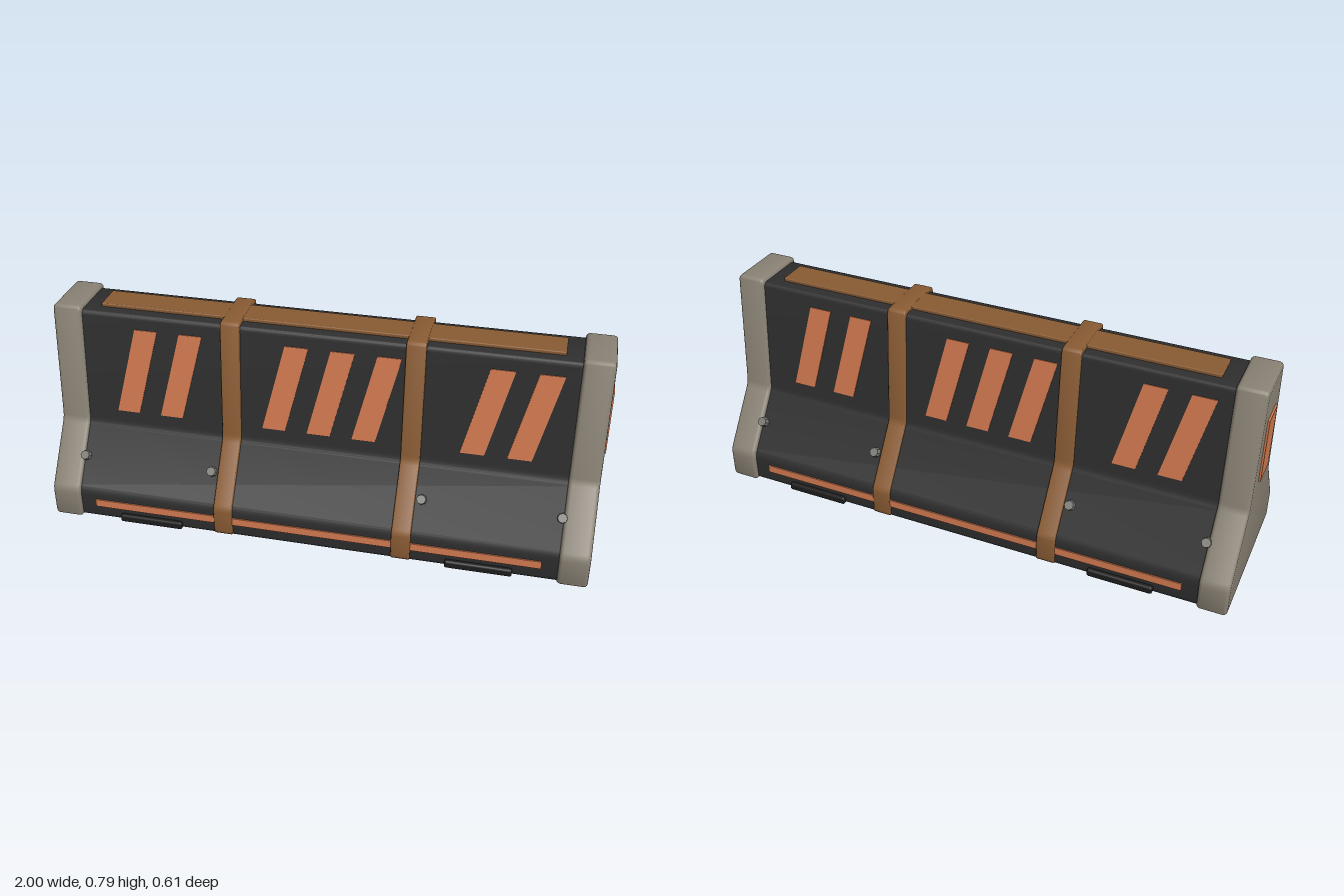
import * as THREE from 'three';
import { toCreasedNormals } from 'three/addons/utils/BufferGeometryUtils.js';
import { RoundedBoxGeometry } from 'three/addons/geometries/RoundedBoxGeometry.js';

const material = (name, color) => {
  const m = new THREE.MeshStandardMaterial({ color });
  m.name = name;
  return m;
};

// Symmetric barrier section from its right half (z, y), with softened corners
function section(half, radius) {
  const pts = [...half, ...half.map(([z, y]) => [-z, y]).reverse()].map(p => new THREE.Vector2(...p));
  const shape = new THREE.Shape();
  pts.forEach((p, i) => {
    const towards = q => p.clone().add(q.clone().sub(p).setLength(radius));
    const a = towards(pts[(i + pts.length - 1) % pts.length]);
    const b = towards(pts[(i + 1) % pts.length]);
    if (i) shape.lineTo(a.x, a.y); else shape.moveTo(a.x, a.y);
    shape.quadraticCurveTo(p.x, p.y, b.x, b.y);
  });
  shape.closePath();
  return shape;
}

// Section swept along x, centred on x = 0, with rounded rims
function sweep(half, length, radius, bevel) {
  const geo = new THREE.ExtrudeGeometry(section(half, radius), {
    depth: length - 2 * bevel, bevelEnabled: bevel > 0, bevelThickness: bevel,
    bevelSize: bevel, bevelOffset: -bevel, bevelSegments: 3, curveSegments: 4,
  });
  geo.translate(0, 0, -(length / 2 - bevel));
  geo.rotateY(Math.PI / 2);
  return toCreasedNormals(geo, 0.6);
}

export function createModel() {
  const group = new THREE.Group();
  group.name = 'barrier';
  const concrete = material('grey end cap', 0x8a8275);
  const dark = material('dark body', 0x2e2e2e);
  const brown = material('brown strap', 0x8a5c34);
  const orange = material('orange marking', 0xd67c52);
  const steel = material('bolt grey', 0x7c7b75);
  const rubber = material('foot black', 0x1d1d1d);

  const add = (parent, name, geo, mat, x = 0, y = 0, z = 0) => {
    const mesh = new THREE.Mesh(geo, mat);
    mesh.name = name;
    mesh.position.set(x, y, z);
    parent.add(mesh);
    return mesh;
  };

  // Main body between the caps
  const body = [[0.29, 0.005], [0.29, 0.115], [0.137, 0.335], [0.1, 0.775]];
  add(group, 'body', sweep(body, 1.84, 0.018, 0), dark);

  // End caps with their marker plates
  const cap = [[0.303, 0.001], [0.303, 0.122], [0.148, 0.342], [0.111, 0.789]];
  const capGeo = sweep(cap, 0.108, 0.018, 0.014);
  for (const s of [-1, 1]) {
    add(group, 'endCap', capGeo, concrete, s * 0.939, 0, 0);
    add(group, 'endMarker', new THREE.BoxGeometry(0.009, 0.243, 0.112), orange, s * 0.9955, 0.53, 0);
  }

  // Straps wrapped over the body
  const strap = [[0.299, 0.008], [0.299, 0.119], [0.147, 0.339], [0.111, 0.788]];
  const strapGeo = sweep(strap, 0.07, 0.018, 0.005);
  for (const x of [-0.33, 0.33]) add(group, 'strap', strapGeo, brown, x);

  // Top rail
  add(group, 'topRail', new RoundedBoxGeometry(1.656, 0.022, 0.112, 2, 0.004), brown, 0, 0.776, 0);

  // Feet running under the body
  for (const x of [-0.61, 0.61]) {
    add(group, 'foot', new RoundedBoxGeometry(0.24, 0.03, 0.612, 2, 0.008), rubber, x, 0.022, 0);
  }

  // Slanted hazard stripe
  const slant = new THREE.Shape([[0, 0], [0.085, 0], [0.167, 0.331], [0.082, 0.331]]
    .map(p => new THREE.Vector2(...p)));
  const stripeGeo = new THREE.ExtrudeGeometry(slant, { depth: 0.006, bevelEnabled: false });
  stripeGeo.rotateX(-Math.atan2(0.037, 0.44));
  const boltGeo = toCreasedNormals(new THREE.CylinderGeometry(0.017, 0.02, 0.034, 8), 0.6);

  // Both long faces carry the same details, turned half a circle
  for (const turn of [0, Math.PI]) {
    const face = new THREE.Group();
    face.name = turn ? 'backDetails' : 'frontDetails';
    face.rotation.y = turn;
    group.add(face);
    for (const x of [-0.77, -0.603, -0.215, -0.05, 0.115, 0.503, 0.668]) {
      add(face, 'hazardStripe', stripeGeo, orange, x, 0.39, 0.1295);
    }
    add(face, 'lowerStripe', new THREE.BoxGeometry(1.656, 0.03, 0.008), orange, 0, 0.07, 0.291);
    for (const x of [-0.88, -0.388, 0.388, 0.88]) {
      const bolt = add(face, 'bolt', boltGeo, steel, x, 0.228, 0.218);
      bolt.rotation.x = Math.atan2(0.22, 0.153);
    }
  }
  return group;
}
